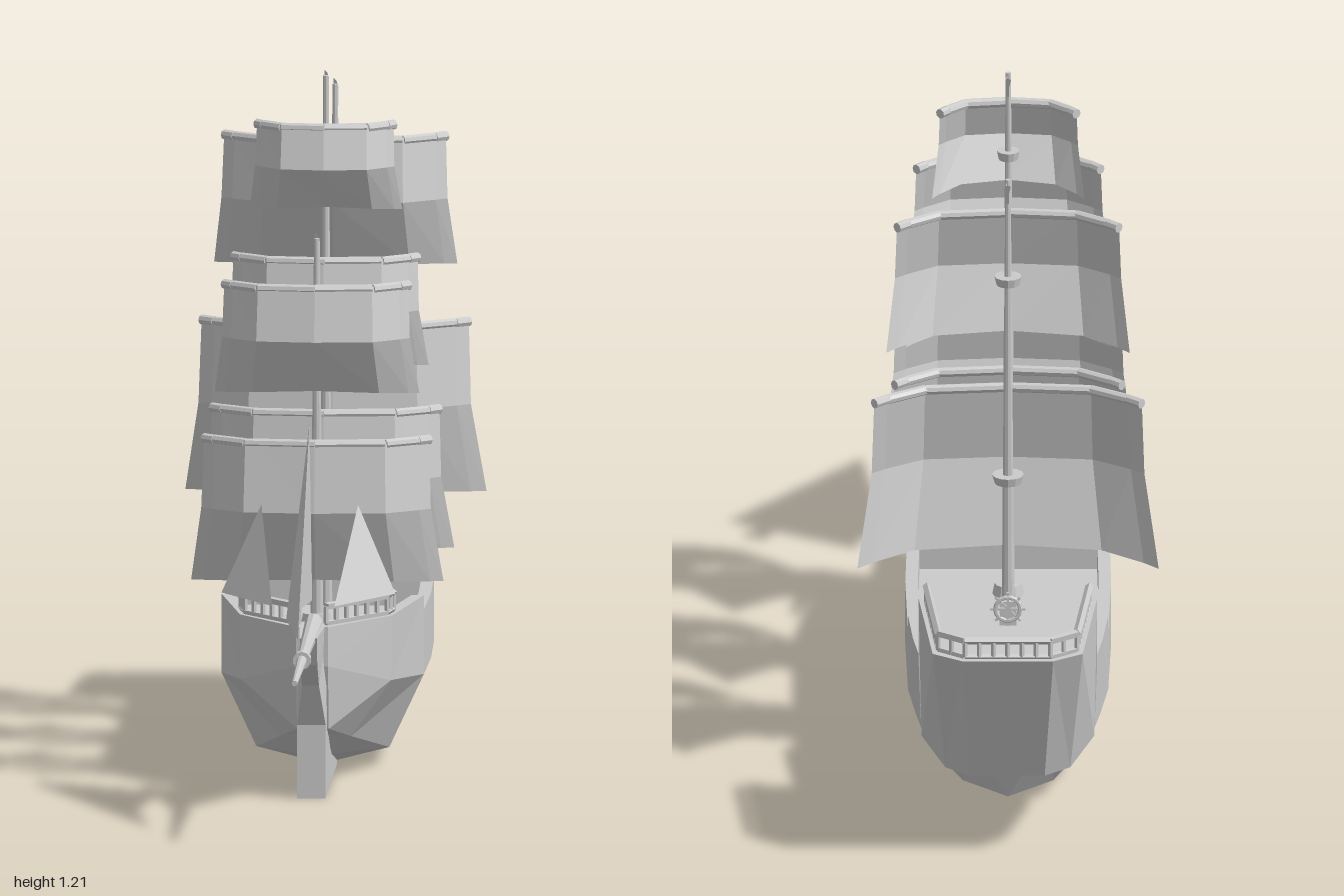
import * as THREE from 'three';

const mat = new THREE.MeshStandardMaterial({ color: 0xcccccc, flatShading: true });
const thin = new THREE.MeshStandardMaterial({ color: 0xcccccc, flatShading: true, side: THREE.DoubleSide });
const V = (x, y, z) => new THREE.Vector3(x, y, z);

function add(parent, name, geo, x = 0, y = 0, z = 0, material = mat) {
  const m = new THREE.Mesh(geo, material);
  m.name = name;
  m.position.set(x, y, z);
  parent.add(m);
  return m;
}

function fromTriangles(points) {
  const g = new THREE.BufferGeometry().setFromPoints(points);
  g.computeVertexNormals();
  return g;
}

// straight bar between two points
function bar(parent, name, a, b, r0, r1 = r0, sides = 8) {
  const m = add(parent, name, new THREE.CylinderGeometry(r1, r0, a.distanceTo(b), sides));
  m.position.copy(a).add(b).multiplyScalar(0.5);
  m.quaternion.setFromUnitVectors(V(0, 1, 0), b.clone().sub(a).normalize());
  return m;
}

// Hull: half sections from bow to stern, mirrored and lofted
function hullGeometry() {
  // outer points run keel, chine, wale, sheer; then bulwark and deck
  const section = (keel, chine, wale, sheer, deckY, dz = 0) => {
    const [x, y, z] = sheer, xi = Math.max(x - 0.022, 0.008);
    return [keel, chine, wale, sheer, [xi, y, z + dz], [xi, deckY, z + dz], [0, deckY, z + dz]].map(p => V(...p));
  };
  const mid = (z, w, top, deck) => section([0, 0, z], [0.117, 0.03, z], [w, 0.16, z], [w, top, z], deck);
  const poop = (z, top, deck) => section([0, 0.16, z], [0.08, 0.16, z], [0.152, 0.16, z], [0.157, top, z], deck);
  const S = [
    section([0, 0.11, 0.32], [0.028, 0.115, 0.32], [0.028, 0.23, 0.35], [0.028, 0.30, 0.35], 0.28),
    section([0, 0.05, 0.2], [0.062, 0.085, 0.2], [0.132, 0.185, 0.2], [0.134, 0.30, 0.2], 0.28),
    mid(-0.05, 0.178, 0.30, 0.28),
    mid(-0.05, 0.178, 0.275, 0.22),
    mid(-0.25, 0.181, 0.275, 0.22),
    mid(-0.47, 0.176, 0.275, 0.22),
    mid(-0.47, 0.176, 0.30, 0.285),
    section([0, 0.005, -0.59], [0.08, 0.03, -0.575], [0.163, 0.16, -0.58], [0.167, 0.30, -0.58], 0.285),
    poop(-0.655, 0.30, 0.285),
    poop(-0.69, 0.30, 0.285),
    poop(-0.69, 0.42, 0.40),
    section([0, 0.16, -0.84], [0.06, 0.16, -0.84], [0.11, 0.16, -0.84], [0.132, 0.42, -0.955], 0.40, 0.01),
    section([0, 0.16, -0.88], [0.04, 0.16, -0.88], [0.065, 0.16, -0.88], [0.08, 0.42, -0.99], 0.40, 0.022),
  ];
  const tris = [], flip = p => V(-p.x, p.y, p.z);
  const quad = (a, b, c, d) => tris.push(a, b, c, a, c, d);
  const n = S[0].length - 1, last = S[S.length - 1];
  for (let i = 0; i < S.length - 1; i++) for (let j = 0; j < n; j++) {
    const [a, b, c, d] = [S[i][j], S[i][j + 1], S[i + 1][j + 1], S[i + 1][j]];
    quad(a, d, c, b);
    quad(flip(a), flip(b), flip(c), flip(d));
  }
  for (let j = 0; j < n; j++) {
    quad(S[0][j], S[0][j + 1], flip(S[0][j + 1]), flip(S[0][j]));
    quad(last[j], flip(last[j]), flip(last[j + 1]), last[j + 1]);
  }
  return fromTriangles(tris);
}

// Stem blade under the bowsprit, thinner toward the front
function stemGeometry() {
  const pts = [[0.49, 0.30], [0.47, 0.25], [0.41, 0.205], [0.375, 0.13], [0.38, 0], [-0.05, 0], [-0.05, 0.03], [0.28, 0.1], [0.28, 0.30]];
  const g = new THREE.ExtrudeGeometry(new THREE.Shape(pts.map(p => new THREE.Vector2(...p))), { depth: 0.05, bevelEnabled: false });
  g.translate(0, 0, -0.025).rotateY(-Math.PI / 2);
  const p = g.attributes.position;
  for (let i = 0; i < p.count; i++) p.setX(i, p.getX(i) * (p.getZ(i) > 0.4 ? 0.6 : 1));
  g.computeVertexNormals();
  return g;
}

// Balustrade: two rails with evenly spaced posts along a path
function balustrade(parent, name, pts, h) {
  const g = new THREE.Group();
  g.name = name;
  parent.add(g);
  const up = V(0, h, 0);
  for (let i = 0; i < pts.length - 1; i++) {
    const a = pts[i], b = pts[i + 1], count = Math.max(2, Math.round(a.distanceTo(b) / 0.026));
    bar(g, 'topRail', a.clone().add(up), b.clone().add(up), 0.007, 0.007, 4);
    bar(g, 'bottomRail', a, b, 0.005, 0.005, 4);
    for (let k = 0; k <= count; k++) {
      const p = a.clone().lerp(b, k / count);
      bar(g, 'post', p, p.clone().add(up), 0.005, 0.005, 6);
    }
  }
}

// Square sail: bellied sheet with its yard along the head
function squareSail(parent, mastZ, top, bottom, wTop, wBottom) {
  const cols = [-1, -0.9, -0.62, 0, 0.62, 0.9, 1], back = [0.082, 0.06, 0.014, 0, 0.014, 0.06, 0.082];
  const rows = [[top, wTop, 0.078], [(top * 0.52 + bottom * 0.48), wTop * 1.02, 0.1], [bottom, wBottom, 0.056]];
  const grid = rows.map(([y, w, z], r) => cols.map((c, k) =>
    V(c * w, y + (r === 2 ? 0.012 * (1 - c * c) : 0), mastZ + z - back[k] * (w / 0.25) ** 0.5)));
  const tris = [];
  for (let r = 0; r < 2; r++) for (let k = 0; k < 6; k++) {
    const [a, b, c, d] = [grid[r][k], grid[r + 1][k], grid[r + 1][k + 1], grid[r][k + 1]];
    tris.push(a, b, c, a, c, d);
  }
  add(parent, 'sail', fromTriangles(tris), 0, 0, 0, thin);
  for (let k = 0; k < 6; k++)
    bar(parent, 'yard', grid[0][k].clone().add(V(0, -0.006, -0.006)), grid[0][k + 1].clone().add(V(0, -0.006, -0.006)), 0.009);
}

function mast(parent, name, z, base, top, rings, sails) {
  const g = new THREE.Group();
  g.name = name;
  parent.add(g);
  bar(g, 'pole', V(0, base, z), V(0, top, z), 0.012, 0.005, 10);
  add(g, 'mastFoot', new THREE.CylinderGeometry(0.024, 0.028, 0.02, 12), 0, base + 0.01, z);
  rings.forEach((y, i) => {
    const r = 0.028 - i * 0.004;
    add(g, 'mastCollar', new THREE.CylinderGeometry(r, r * 0.85, 0.016, 12), 0, y, z);
    bar(g, 'yardBracket', V(0, y, z), V(0, y, z + 0.07), 0.006);
  });
  sails.forEach(s => squareSail(g, z, ...s));
  // waving pennant
  const flag = new THREE.PlaneGeometry(0.06, 0.034, 4, 1).translate(-0.03, 0, 0);
  const p = flag.attributes.position;
  for (let i = 0; i < p.count; i++) {
    const t = p.getX(i) / 0.06;
    p.setY(i, p.getY(i) + 0.006 * Math.sin(t * 7));
    p.setZ(i, 0.005 * Math.sin(t * 6));
  }
  flag.rotateY(-Math.PI / 2);
  add(g, 'pennant', flag, 0, top - 0.018, z, thin);
}

export function createModel() {
  const ship = new THREE.Group();
  ship.name = 'sailingShip';
  add(ship, 'hull', hullGeometry());
  add(ship, 'stem', stemGeometry());

  // bowsprit
  bar(ship, 'bowsprit', V(0, 0.298, 0.28), V(0, 0.294, 1), 0.016, 0.005, 10);
  bar(ship, 'bowspritBand', V(0, 0.295, 0.705), V(0, 0.295, 0.73), 0.016, 0.016, 10);

  // deck railings
  for (const s of [1, -1])
    balustrade(ship, 'bowRailing', [V(s * 0.134, 0.305, 0.155), V(s * 0.125, 0.305, 0.2), V(s * 0.024, 0.305, 0.335)], 0.03);
  balustrade(ship, 'sternRailing', [
    V(0.143, 0.425, -0.72), V(0.122, 0.425, -0.945), V(0.075, 0.425, -0.98),
    V(-0.075, 0.425, -0.98), V(-0.122, 0.425, -0.945), V(-0.143, 0.425, -0.72)], 0.03);

  // stairs to the stern deck
  for (let i = 0; i < 4; i++) {
    const h = 0.033 + i * 0.025;
    add(ship, 'stairStep', new THREE.BoxGeometry(0.14, h, 0.026), 0, 0.283 + h / 2, -0.605 - i * 0.025);
  }

  // steering wheel on its stand
  const helm = new THREE.Group();
  helm.name = 'helm';
  helm.position.set(0, 0.40, -0.77);
  ship.add(helm);
  add(helm, 'stand', new THREE.BoxGeometry(0.03, 0.045, 0.022), 0, 0.022, 0.012);
  add(helm, 'wheelRim', new THREE.TorusGeometry(0.022, 0.004, 6, 14), 0, 0.036, -0.012);
  for (let i = 0; i < 4; i++)
    add(helm, 'spoke', new THREE.BoxGeometry(0.062, 0.004, 0.004), 0, 0.036, -0.012).rotation.z = i * Math.PI / 4;

  // masts with square sails: head height, foot height, head and foot half-widths
  mast(ship, 'foreMast', 0.175, 0.28, 0.965, [0.485, 0.795],
    [[0.615, 0.355, 0.198, 0.222], [0.89, 0.69, 0.162, 0.18]]);
  mast(ship, 'mainMast', -0.165, 0.22, 1.205, [0.5, 0.8, 1.05],
    [[0.62, 0.365, 0.2, 0.225], [0.89, 0.69, 0.162, 0.18], [1.127, 0.968, 0.12, 0.134]]);
  mast(ship, 'mizzenMast', -0.51, 0.285, 1.14, [0.575, 0.95],
    [[0.725, 0.415, 0.235, 0.265], [1.055, 0.82, 0.195, 0.214]]);

  // staysails: bellied centre one and a flat one each side
  const peak = V(0, 0.675, 0.45), tack = V(0, 0.355, 0.88), clew = V(0.005, 0.362, 0.45), belly = V(-0.03, 0.36, 0.68);
  add(ship, 'centreStaysail', fromTriangles([peak, clew, belly, peak, belly, tack]), 0, 0, 0, thin);
  for (const s of [1, -1])
    add(ship, 'sideStaysail', fromTriangles([V(s * 0.085, 0.53, 0.435), V(s * 0.153, 0.38, 0.485), V(s * 0.055, 0.385, 0.68)]), 0, 0, 0, thin);

  return ship;
}
